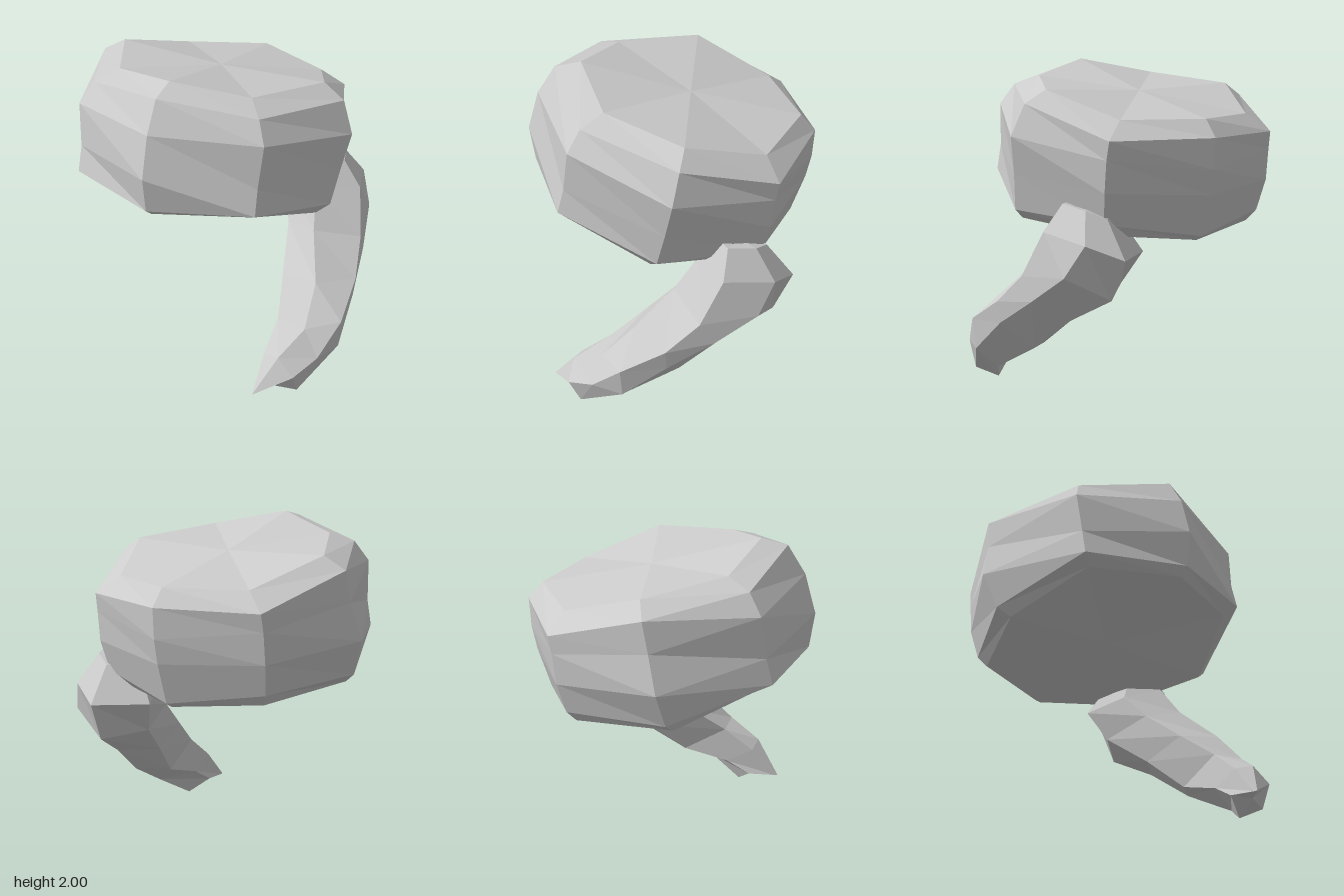
import * as THREE from 'three';

const material = new THREE.MeshStandardMaterial({ color: 0xcccccc, flatShading: true });

// Skins a stack of closed rings (counter-clockwise from above, first ring on top) and caps both ends
function loft(name, rings) {
  const pos = [];
  const tri = (...corners) => corners.forEach((p) => pos.push(...p));
  const middle = (ring) => [0, 1, 2].map((k) => ring.reduce((s, p) => s + p[k], 0) / ring.length);
  const n = rings[0].length;
  const last = rings.length - 1;
  const top = middle(rings[0]);
  const bottom = middle(rings[last]);
  for (let j = 0; j < n; j++) {
    const k = (j + 1) % n;
    tri(top, rings[0][j], rings[0][k]);
    for (let i = 0; i < last; i++) {
      const [a, b, c, d] = [rings[i][j], rings[i][k], rings[i + 1][j], rings[i + 1][k]];
      tri(a, c, d);
      tri(a, d, b);
    }
    tri(bottom, rings[last][k], rings[last][j]);
  }
  const geometry = new THREE.BufferGeometry();
  geometry.setAttribute('position', new THREE.Float32BufferAttribute(pos, 3));
  geometry.computeVertexNormals();
  const mesh = new THREE.Mesh(geometry, material);
  mesh.name = name;
  return mesh;
}

// Tilted eight-sided drum: each level is half a ring, mirrored about its own axis.
// Points run front, front corner, side, back corner, back as [half width, y, z].
function createDrum() {
  const axis = -0.06;
  const levels = [
    { skew: 0, half: [[0, 2.0, 0.54], [0.43, 1.91, 0.36], [0.675, 1.85, -0.12], [0.465, 1.69, -0.58], [0, 1.69, -0.78]] },
    { skew: 0, half: [[0, 1.96, 0.7], [0.535, 1.855, 0.485], [0.81, 1.77, -0.1], [0.595, 1.58, -0.66], [0, 1.585, -0.87]] },
    { skew: 0.03, half: [[0, 1.78, 0.81], [0.6, 1.73, 0.555], [0.855, 1.58, -0.065], [0.6, 1.47, -0.64], [0, 1.4, -0.86]] },
    { skew: -0.02, half: [[0, 1.53, 0.88], [0.58, 1.47, 0.59], [0.86, 1.35, -0.02], [0.6, 1.28, -0.62], [0, 1.25, -0.83]] },
    { skew: 0, half: [[0, 1.31, 0.85], [0.585, 1.31, 0.63], [0.805, 1.13, 0.03], [0.57, 1.09, -0.57], [0, 1.0, -0.75]] },
    { skew: 0, half: [[0, 1.26, 0.79], [0.52, 1.258, 0.57], [0.73, 1.07, 0.07], [0.53, 1.02, -0.52], [0, 0.97, -0.7]] },
  ];
  const rings = levels.map(({ skew, half }) => {
    const point = (side) => ([w, y, z], i) => [axis + side * w + (i === 2 ? skew : 0), y, z];
    const left = half.map(point(1));
    const right = half.map(point(-1)).slice(1, 4).reverse();
    return [...left, ...right];
  });
  return loft('drumBody', rings);
}

// Six-sided curved tail: six long edges running from the root to the tip
function createTail() {
  const edges = [
    // upper front edge
    [[0.56, 1.05, -0.2], [0.61, 0.85, -0.06], [0.73, 0.63, 0.17], [0.75, 0.42, 0.37], [0.66, 0.3, 0.56], [0.555, 0.08, 0.7]],
    // upper outer edge
    [[0.79, 1.05, -0.36], [0.86, 0.78, -0.23], [0.915, 0.6, -0.03], [0.935, 0.45, 0.24], [0.86, 0.27, 0.42], [0.77, 0.2, 0.58]],
    // lower outer edge
    [[0.7, 1.0, -0.66], [0.785, 0.81, -0.57], [0.85, 0.64, -0.32], [0.9, 0.47, -0.04], [0.92, 0.26, 0.23], [0.77, 0.06, 0.51]],
    // underside edge
    [[0.5, 0.91, -0.77], [0.52, 0.665, -0.66], [0.62, 0.51, -0.38], [0.7, 0.3, -0.1], [0.76, 0.12, 0.24], [0.65, 0, 0.43]],
    // lower inner edge
    [[0.22, 0.91, -0.55], [0.31, 0.71, -0.45], [0.43, 0.5, -0.18], [0.53, 0.28, 0.06], [0.535, 0.19, 0.35], [0.525, 0.1, 0.5]],
    // upper inner edge
    [[0.34, 0.97, -0.3], [0.4, 0.8, -0.15], [0.48, 0.6, 0.1], [0.555, 0.42, 0.33], [0.55, 0.27, 0.52], [0.55, 0.08, 0.68]],
  ];
  const rings = edges[0].map((_, i) => edges.map((edge) => edge[i]));
  // root narrows into the drum
  const anchor = [0.52, 1.4, -0.4];
  const root = rings[0].map((p) => p.map((v, k) => v + (anchor[k] - v) * 0.45));
  return loft('tail', [root, ...rings]);
}

export function createModel() {
  const model = new THREE.Group();
  model.name = 'drumWithTail';
  model.add(createDrum(), createTail());
  return model;
}
